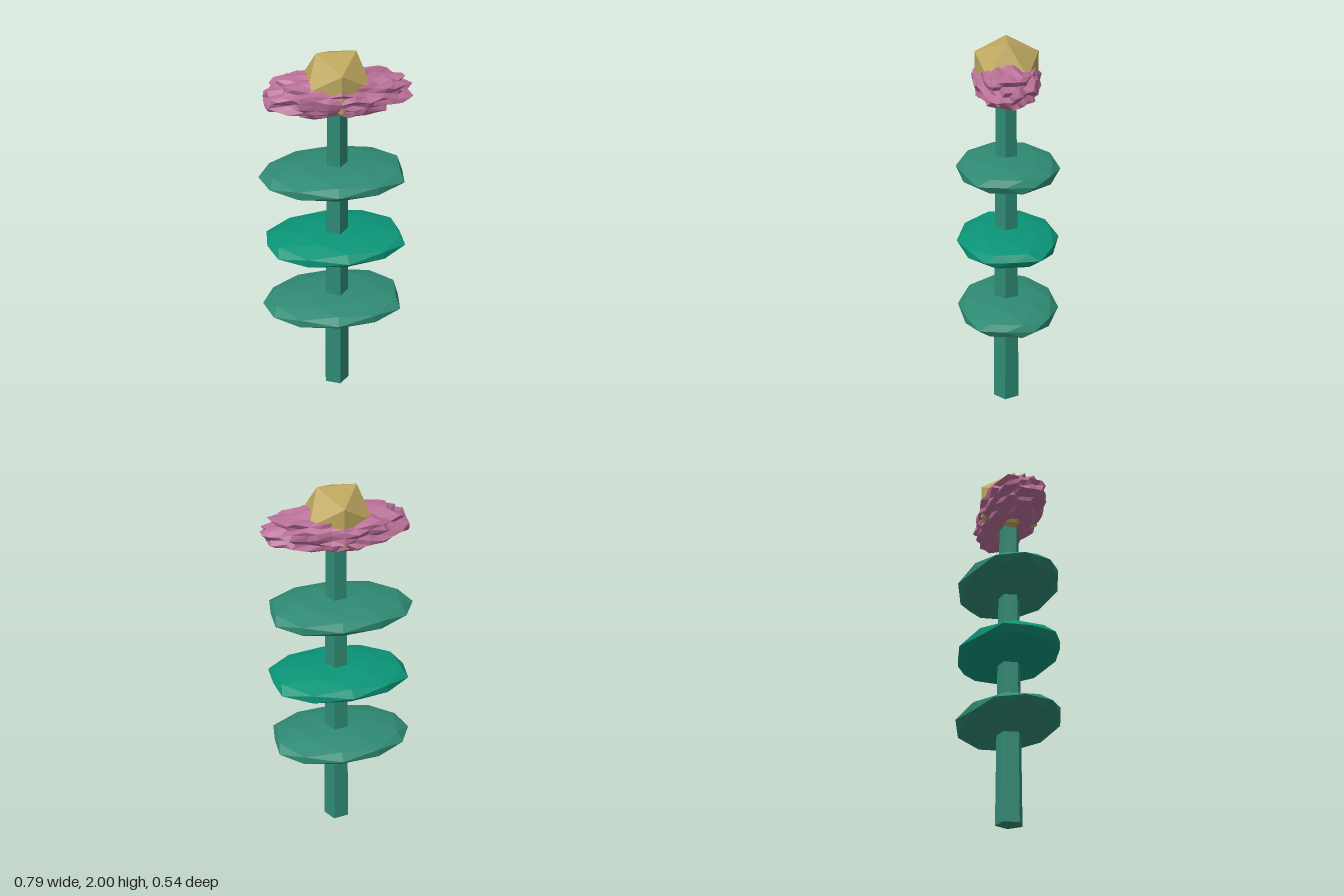
import * as THREE from 'three';

const clamp = THREE.MathUtils.clamp;

// repeatable value 0..1 for a point, so that shared corners stay joined
function hash(v) {
  const [a, b, c] = [v.x, v.y, v.z].map((n) => Math.round(n * 1000) / 1000);
  const s = Math.sin(a * 127.1 + b * 311.7 + c * 74.7) * 43758.5453;
  return s - Math.floor(s);
}

// faceted ball whose corners are moved by a rule
function facetedBall(detail, rule) {
  const geo = new THREE.IcosahedronGeometry(1, detail);
  const p = geo.attributes.position;
  const v = new THREE.Vector3();
  for (let i = 0; i < p.count; i++) {
    rule(v.fromBufferAttribute(p, i));
    p.setXYZ(i, v.x, v.y, v.z);
  }
  geo.computeVertexNormals();
  return geo;
}

export function createModel() {
  const model = new THREE.Group();
  model.name = 'flower';

  function add(name, geo, color, x, y, z) {
    const material = new THREE.MeshStandardMaterial({ color, flatShading: true });
    const mesh = new THREE.Mesh(geo, material);
    mesh.name = name;
    mesh.position.set(x, y, z);
    model.add(mesh);
    return mesh;
  }

  const green = 0x2f8a74;
  const up = new THREE.Vector3(0, 1, 0);

  // five-sided tapering stem
  const stem = add('stem', new THREE.CylinderGeometry(0.055, 0.073, 1.75, 5), green, 0, 0.875, 0.007);
  stem.rotation.y = 0.18;

  // three flat oval leaves, blunt at the ends
  const leaves = [
    { y: 0.54, color: green, turn: -0.08, left: -0.4, right: 0.345 },
    { y: 0.93, color: 0x0b9578, turn: 0.06, left: -0.37, right: 0.35 },
    { y: 1.327, color: green, turn: -0.08, left: -0.4, right: 0.345 },
  ];
  leaves.forEach(({ y, color, turn, left, right }, i) => {
    const geo = facetedBall(1, (v) => {
      v.applyAxisAngle(up, turn);
      v.set(clamp(v.x * 0.405, left, right), v.y * 0.07, v.z * 0.272);
    });
    add(`leaf${i + 1}`, geo, color, 0, y, 0);
  });

  // ruffled petals: blunt on one side, pointed on the other
  const petals = facetedBall(5, (v) => {
    const r = 0.82 + 0.24 * hash(v);
    const x = clamp(v.x * r * 0.39, -0.36, 0.4);
    const y = clamp(Math.sign(v.y) * Math.abs(v.y) ** 0.85 * r * 0.112, -0.108, 0.108);
    v.set(x, y, v.z * r * 0.178);
  });
  add('petals', petals, 0xb96f97, 0, 1.79, 0.006);

  // faceted flower centre
  add('flowerCentre', new THREE.IcosahedronGeometry(0.19, 0), 0xbda65e, 0, 1.838, 0.006);

  return model;
}
